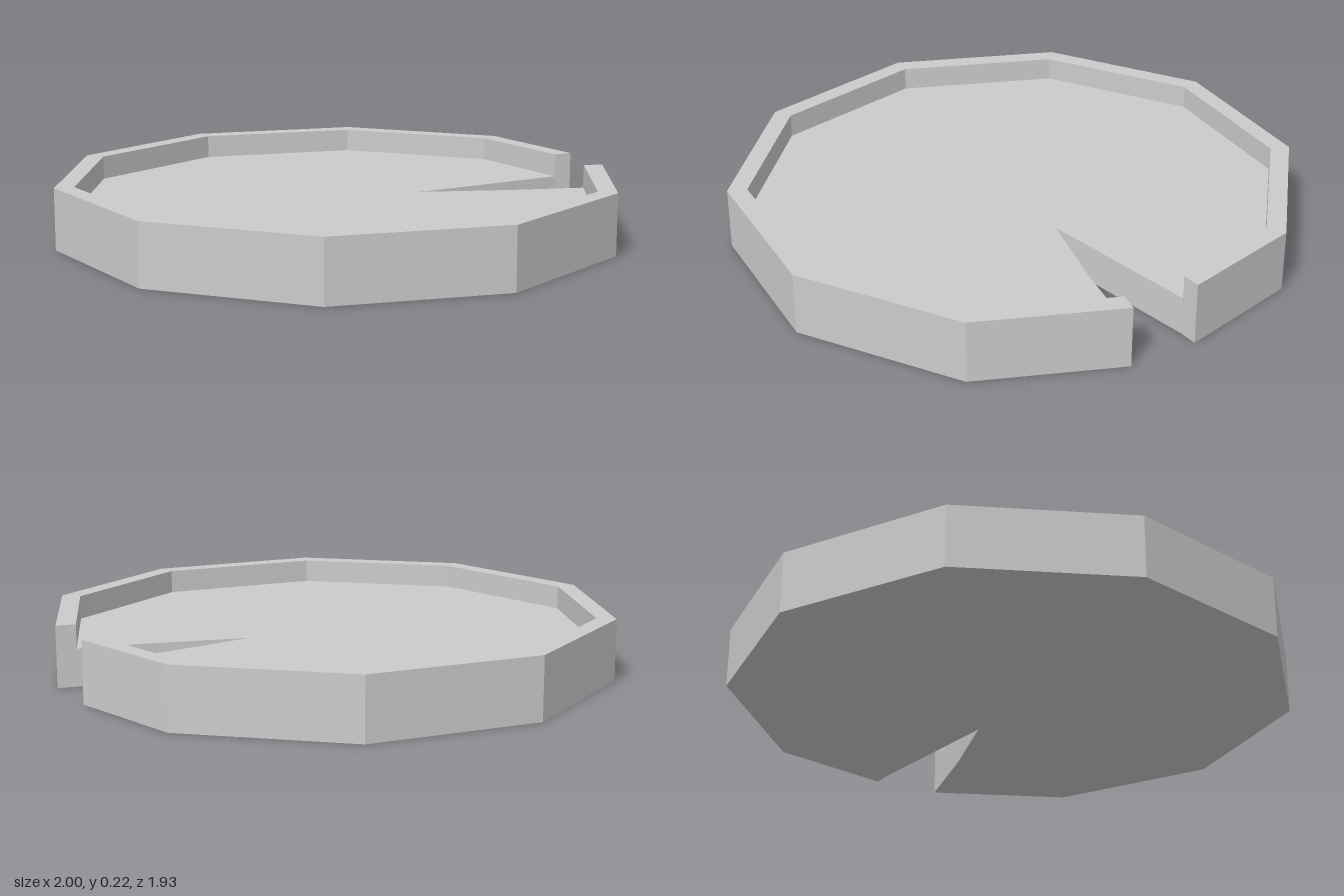
import * as THREE from 'three';

const FLOOR = 0.135, RIM = 0.22, CENTRE = 0.015;

// Nine corners of a decagon as [x, z]; the tenth (at +x) is cut by the notch
function corners(radius) {
  return Array.from({ length: 9 }, (_, i) => {
    const a = (i + 1) * Math.PI / 5;
    return [CENTRE + radius * Math.cos(a), radius * Math.sin(a)];
  });
}

// Vertical wall along a path, facing right of a clockwise-from-above outline
function wall(path, height, bottom = 0) {
  const pos = [];
  for (let i = 0; i + 1 < path.length; i++) {
    const [ax, az] = path[i], [bx, bz] = path[i + 1];
    pos.push(ax, bottom, az, ax, height, az, bx, height, bz);
    pos.push(ax, bottom, az, bx, height, bz, bx, bottom, bz);
  }
  const g = new THREE.BufferGeometry();
  g.setAttribute('position', new THREE.Float32BufferAttribute(pos, 3));
  g.computeVertexNormals();
  return g;
}

// Flat face filling an outline, facing up or down
function cap(outline, y, up = true) {
  const s = up ? -1 : 1;
  const shape = new THREE.Shape(outline.map(([x, z]) => new THREE.Vector2(x, s * z)));
  return new THREE.ShapeGeometry(shape).rotateX(s * Math.PI / 2).translate(0, y, 0);
}

export function createModel() {
  const group = new THREE.Group();
  const material = new THREE.MeshStandardMaterial({
    color: 0xcccccc, flatShading: true, side: THREE.DoubleSide,
  });
  const add = (name, geometry) => {
    const mesh = new THREE.Mesh(geometry, material);
    mesh.name = name;
    group.add(mesh);
  };

  // Outlines, each running from the front side of the notch to its back side
  const outer = [[1.0, 0.095], ...corners(1.015), [0.98, -0.155]];
  const inner = [[0.93, 0.087], ...corners(0.945), [0.913, -0.146]];
  const innerBack = [...inner].reverse();
  const notch = [inner.at(-1), [0.325, 0], [0.65, 0.055], inner[0]];
  const notchMiddle = notch.slice(1, 3);

  // Tray floor and underside
  add('floor', cap([...inner, ...notchMiddle], FLOOR));
  add('underside', cap([...outer, ...notch], 0, false));

  // Raised rim
  add('outerWall', wall(outer, RIM));
  add('innerWall', wall(innerBack, RIM, FLOOR));
  add('rimTop', cap([...outer, ...innerBack], RIM));

  // Cut faces of the notch
  add('notchWalls', wall(notch, FLOOR));
  add('backRimEnd', wall([outer.at(-1), inner.at(-1)], RIM));
  add('frontRimEnd', wall([inner[0], outer[0]], RIM));

  return group;
}
